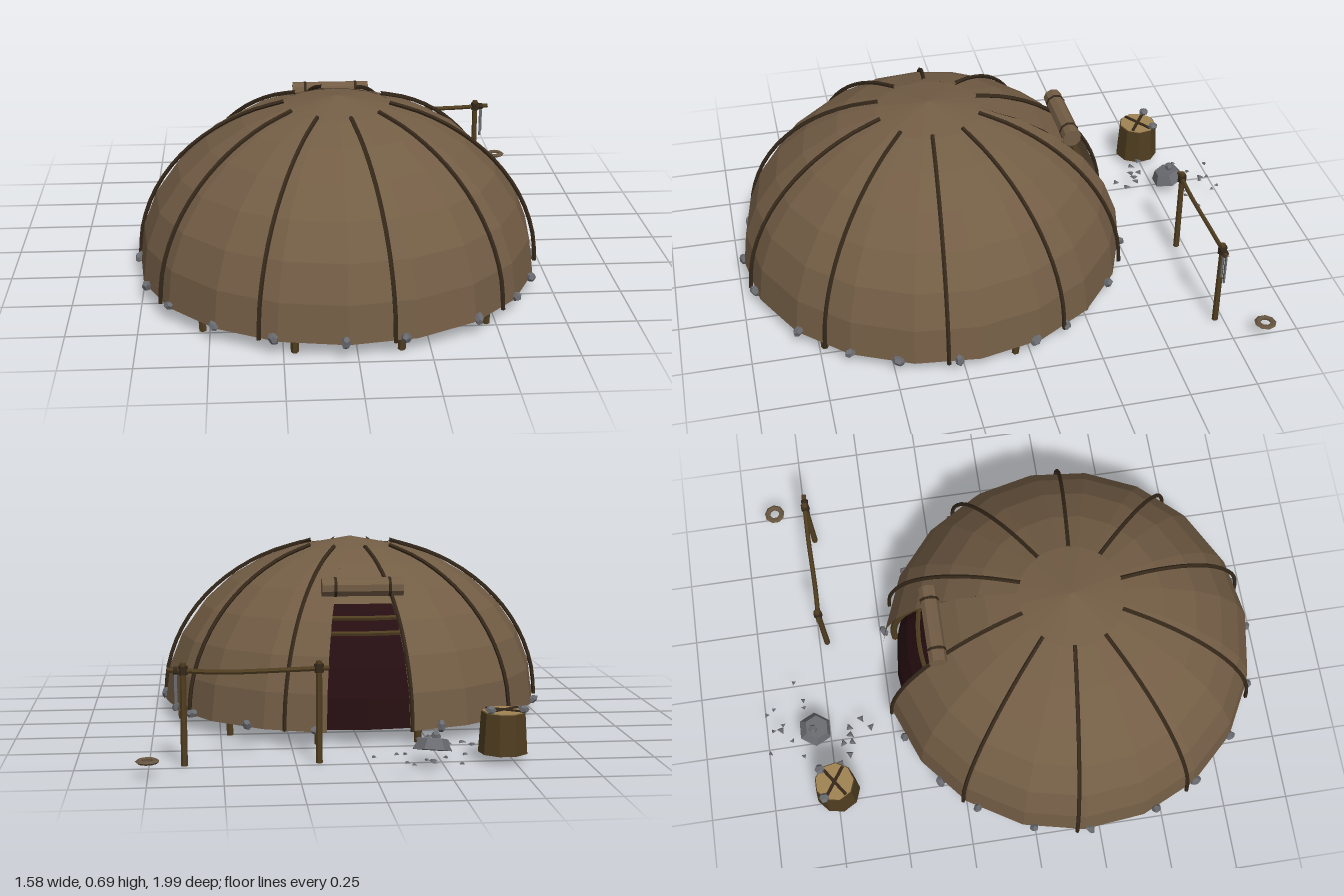
import * as THREE from 'three';

const mat = (name, color, double = false) => {
  const m = new THREE.MeshStandardMaterial({ color, flatShading: true, side: double ? THREE.DoubleSide : THREE.FrontSide });
  m.name = name;
  return m;
};
const M = {
  hide: mat('hide', 0x735d45, true),
  pole: mat('dark pole', 0x35281a),
  wood: mat('wood', 0x4f3d20),
  cutWood: mat('cut wood', 0xa08354),
  interior: mat('dark interior', 0x260e11, true),
  stone: mat('stone', 0x6a6b70),
  ringClay: mat('ring brown', 0x65543f),
};
const RAD = Math.PI / 180;
const CX = -0.03, CZ = 0.235, BASE = 0.05;

let seed = 7;
const rnd = () => (seed = (seed * 16807) % 2147483647) / 2147483647;

// Point on a dome: a = compass angle from +x towards +z, t = elevation
const domePoint = (a, t, r, h) => new THREE.Vector3(
  r * Math.cos(t * RAD) * Math.cos(a * RAD), BASE + h * Math.sin(t * RAD), r * Math.cos(t * RAD) * Math.sin(a * RAD));
const profile = (t0, t1, n, r, h) => Array.from({ length: n + 1 }, (_, i) => {
  const t = (t0 + (t1 - t0) * i / n) * RAD;
  return new THREE.Vector2(r * Math.cos(t), BASE + h * Math.sin(t));
});

export function createModel() {
  const root = new THREE.Group();
  root.name = 'hideHut';
  const add = (parent, name, geo, m, x = 0, y = 0, z = 0) => {
    const mesh = new THREE.Mesh(geo, m);
    mesh.name = name;
    mesh.position.set(x, y, z);
    parent.add(mesh);
    return mesh;
  };
  const group = (name, x, y, z) => {
    const g = new THREE.Group();
    g.name = name;
    g.position.set(x, y, z);
    root.add(g);
    return g;
  };
  const tube = (pts, n, r, sides = 6) => new THREE.TubeGeometry(new THREE.CatmullRomCurve3(pts), n, r, sides);
  const rod = (parent, name, a, b, r, m, sides = 7) => {
    const d = b.clone().sub(a);
    const mesh = add(parent, name, new THREE.CylinderGeometry(r * 0.9, r, d.length(), sides), m);
    mesh.position.copy(a).add(b).multiplyScalar(0.5);
    mesh.quaternion.setFromUnitVectors(new THREE.Vector3(0, 1, 0), d.normalize());
    return mesh;
  };
  const V = (x, y, z) => new THREE.Vector3(x, y, z);

  // Hide covering with a wedge-shaped doorway at the back
  const hut = group('hut', CX, 0, CZ);
  const R = 0.74, H = 0.63, TOP = 74.3, DOOR = 44;
  add(hut, 'hideCover', new THREE.LatheGeometry(profile(0, TOP, 6, R, H), 18, -168.5 * RAD, 336.5 * RAD), M.hide);
  add(hut, 'hideAboveDoor', new THREE.LatheGeometry(profile(DOOR, TOP, 3, R, H), 1, 168 * RAD, 23.5 * RAD), M.hide);
  add(hut, 'crownCap', new THREE.ConeGeometry(0.207, 0.04, 20, 1, true), M.hide, 0, 0.672, 0);

  // Dark lining with a closed floor
  add(hut, 'interior', new THREE.LatheGeometry(
    [new THREE.Vector2(0, BASE), ...profile(0, 90, 8, 0.685, 0.57)], 28), M.interior);

  // Outer poles lying over the cover
  for (let k = 0; k < 10; k++) {
    const pts = Array.from({ length: 9 }, (_, i) => domePoint(6 + 36 * k, i * 75 / 8, R + 0.006, H + 0.008));
    add(hut, 'outerRib', tube(pts, 16, 0.008, 5), M.pole);
  }

  // Inner frame poles with feet below the cover
  for (const a of [-15, -45, -75, 45, 75, 105, 135, 195, 225, 255]) {
    const foot = domePoint(a, 0, 0.7, 0.59).setY(0);
    const pts = [foot, ...[0, 15, 30, 45].map(t => domePoint(a, t, 0.703, 0.6))];
    add(hut, 'framePole', tube(pts, 10, 0.014), M.wood);
  }
  // Hoops across the top of the doorway
  for (const t of [34, 40]) {
    const pts = [256, 263, 270, 277, 284].map(a => domePoint(a, t, 0.7, 0.6));
    add(hut, 'doorHoop', tube(pts, 8, 0.009, 5), M.wood);
  }

  // Rolled door hide with ties
  const roll = group('rolledDoor', -0.025, 0.55, -0.285);
  add(roll, 'roll', new THREE.CylinderGeometry(0.035, 0.035, 0.3, 9), M.hide).rotation.z = Math.PI / 2;
  for (const x of [-0.1, 0.1]) {
    add(roll, 'rollTie', new THREE.CylinderGeometry(0.037, 0.037, 0.01, 9), M.pole, x).rotation.z = Math.PI / 2;
  }

  // Stones weighing down the hem
  for (const a of [3, 20, 34, 52, 75, 91, 110, 128, 146, 161, 182, 199, 217, 231, 249, 285, 306, 329, 340]) {
    const s = add(hut, 'hemStone', new THREE.DodecahedronGeometry(0.022), M.stone);
    s.position.copy(domePoint(a, 0, 0.742, 0)).setY(0.06);
    s.rotation.set(rnd() * 6, rnd() * 6, rnd() * 6);
    s.scale.set(1.1, 0.6 + rnd() * 0.3, 0.8);
  }

  // Chopping stump with crossed cords and small stones
  const stump = group('stump', -0.465, 0, -0.745);
  add(stump, 'trunk', new THREE.CylinderGeometry(0.078, 0.087, 0.142, 9), M.wood, 0, 0.101, 0);
  add(stump, 'stumpTop', new THREE.CylinderGeometry(0.074, 0.074, 0.006, 9), M.cutWood, 0, 0.173, 0);
  for (const s of [-1, 1]) {
    add(stump, 'crossCord', new THREE.BoxGeometry(0.135, 0.006, 0.012), M.pole, 0, 0.178, 0).rotation.y = s * 0.6;
  }
  for (const [x, z] of [[-0.06, -0.045], [0.055, -0.05]]) {
    add(stump, 'stumpStone', new THREE.DodecahedronGeometry(0.02), M.stone, x, 0.188, z).scale.y = 0.7;
  }

  // Drying rack
  const rack = group('dryingRack', 0, 0, -0.72);
  for (const x of [0.17, 0.63]) {
    rod(rack, 'rackPost', V(x, 0, 0), V(x, 0.355, 0), 0.012, M.wood);
    add(rack, 'lashing', new THREE.CylinderGeometry(0.017, 0.017, 0.03, 7), M.pole, x, 0.33, 0);
  }
  add(rack, 'rackRail', tube([V(0.135, 0.33, 0), V(0.28, 0.325, 0.002), V(0.5, 0.322, -0.003), V(0.685, 0.332, 0)], 10, 0.009), M.wood);
  add(rack, 'railKnot', new THREE.CylinderGeometry(0.014, 0.014, 0.015, 7), M.pole, 0.655, 0.33, 0).rotation.z = Math.PI / 2;
  for (const [z, len] of [[-0.008, 0.12], [0.006, 0.09]]) {
    add(rack, 'hangingStrip', new THREE.BoxGeometry(0.01, len, 0.006), M.stone, 0.655, 0.315 - len / 2, z);
  }

  // Flat stone for knapping, with scattered flakes
  const slab = add(root, 'knappingStone', new THREE.CylinderGeometry(0.05, 0.072, 0.04, 6), M.stone, -0.21, 0.075, -0.8);
  slab.rotation.set(0.2, 0.5, 0.1);
  slab.scale.set(0.95, 1, 0.95);
  add(root, 'hammerStone', new THREE.DodecahedronGeometry(0.018), M.stone, -0.22, 0.105, -0.81);
  const flakes = [[-0.28, -0.99], [-0.19, -0.97], [-0.12, -0.99], [-0.1, -0.96], [-0.17, -0.93], [-0.24, -0.9],
    [-0.31, -0.86], [-0.11, -0.84], [-0.08, -0.84], [0, -0.87], [-0.36, -0.72], [-0.33, -0.68], [-0.28, -0.7],
    [-0.25, -0.67], [-0.22, -0.67], [-0.19, -0.62], [-0.23, -0.585], [-0.28, -0.665], [-0.19, -0.94]];
  flakes.forEach(([x, z], i) => {
    const r = i > 9 ? 0.019 : 0.012;
    const f = add(root, 'flake', new THREE.CylinderGeometry(r * 0.4, r, 0.007, 3), M.stone, x, 0.054, z);
    f.rotation.y = rnd() * 6;
    f.scale.z = 0.8;
  });

  // Small ring lying on the ground
  const ring = add(root, 'groundRing', new THREE.TorusGeometry(0.029, 0.012, 5, 9), M.ringClay, 0.75, 0.055, -0.87);
  ring.rotation.x = Math.PI / 2;
  ring.scale.z = 0.6;

  return root;
}
